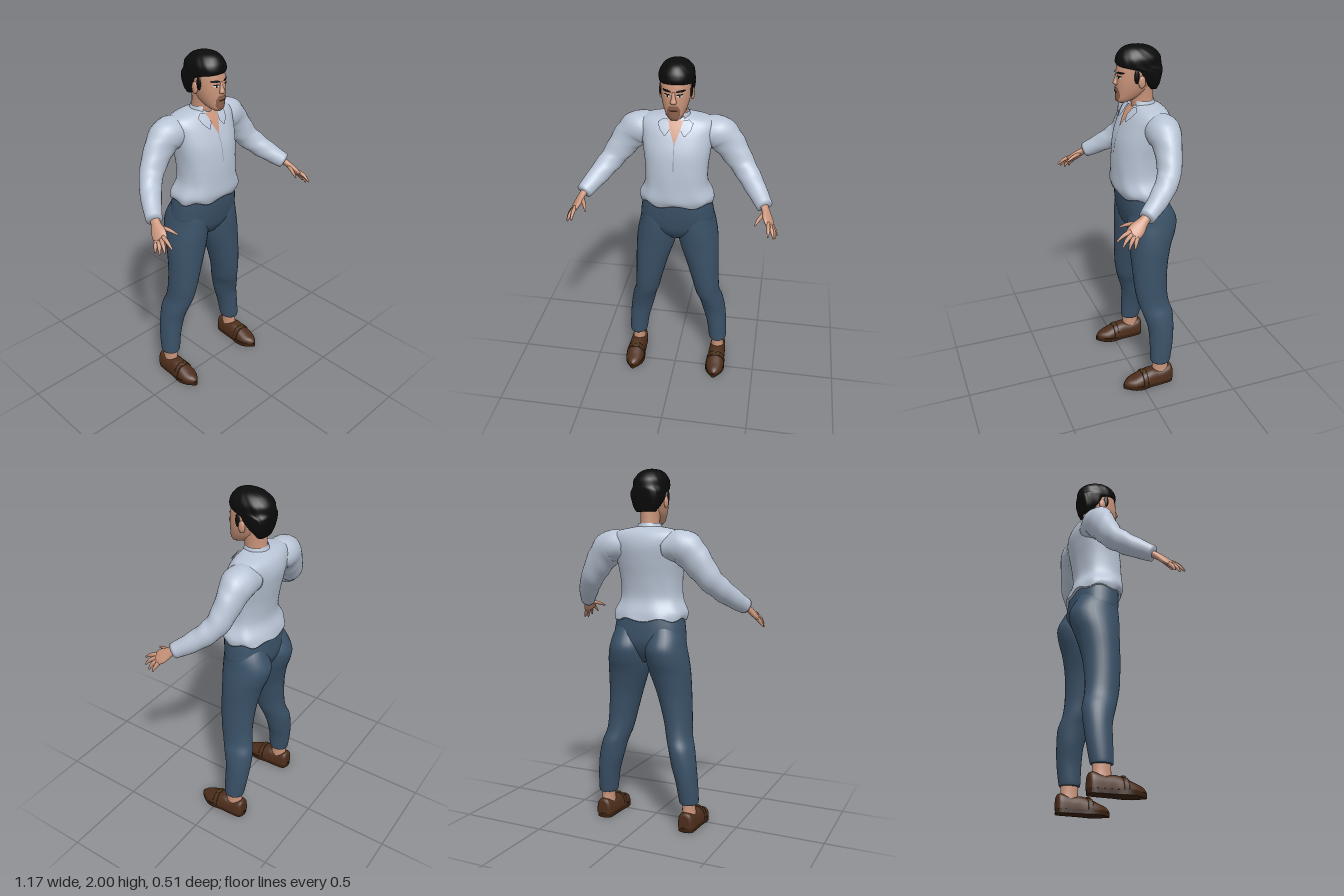
import * as THREE from 'three';
import { mergeVertices } from 'three/addons/utils/BufferGeometryUtils.js';

const mat = (name, color, side = THREE.FrontSide) => {
  const m = new THREE.MeshStandardMaterial({ color, side });
  m.name = name;
  return m;
};

// Catmull-Rom blend of section rows, t from 0 to 1
function blend(rows, t) {
  const f = t * (rows.length - 1), i = Math.min(Math.floor(f), rows.length - 2), s = f - i;
  const at = k => rows[Math.max(0, Math.min(rows.length - 1, k))];
  const [a, b, c, d] = [at(i - 1), at(i), at(i + 1), at(i + 2)];
  return b.map((v, k) => v + 0.5 * s * (c[k] - a[k] + s * (2 * a[k] - 5 * v + 4 * c[k] - d[k] + s * (3 * (v - c[k]) + d[k] - a[k]))));
}

function gridGeometry(points, nu, nv, closed) {
  const index = [], w = closed ? nu : nu + 1;
  for (let j = 0; j < nv; j++) for (let i = 0; i < nu; i++) {
    const k = (i + 1) % w, a = j * w + i, b = j * w + k, c = a + w, d = b + w;
    index.push(a, b, c, b, d, c);
  }
  const g = new THREE.BufferGeometry().setFromPoints(points);
  g.setIndex(index);
  g.computeVertexNormals();
  return g;
}

// Closed skin over sections [x, y, z, halfWidth, halfDepth, power]
function loft(rows, { seg = 28, steps = 6, ref = [0, 0, 1], flat = false, post } = {}) {
  const n = (rows.length - 1) * steps, pts = [];
  for (let j = -1; j <= n + 1; j++) {
    const t = Math.max(0, Math.min(n, j)) / n, cap = j < 0 || j > n ? 0.001 : 1;
    const [x, y, z, a, b, p = 2] = blend(rows, t);
    const e0 = blend(rows, Math.max(0, t - 0.02)), e1 = blend(rows, Math.min(1, t + 0.02));
    const T = flat ? new THREE.Vector3(0, 1, 0) : new THREE.Vector3(e1[0] - e0[0], e1[1] - e0[1], e1[2] - e0[2]).normalize();
    const U = T.clone().cross(new THREE.Vector3(...ref)).normalize(), V = U.clone().cross(T);
    for (let i = 0; i < seg; i++) {
      const th = i / seg * Math.PI * 2, s = Math.sin(th), c = Math.cos(th);
      const q = new THREE.Vector3(x, y, z)
        .addScaledVector(U, cap * a * Math.sign(s) * Math.abs(s) ** (2 / p))
        .addScaledVector(V, cap * b * Math.sign(c) * Math.abs(c) ** (2 / p));
      if (post) post(q, th, t);
      pts.push(q);
    }
  }
  return gridGeometry(pts, seg, n + 2, true);
}

// Rows [height, halfWidth, frontZ, backZ, power] to upright sections
const upright = (rows, x = 0) => rows.map(([y, a, f, b, p = 2]) => [x, y, (f + b) / 2, a, (f - b) / 2, p]);

function frontZ(rows, x, y) {
  let lo = 0, hi = 1;
  for (let k = 0; k < 24; k++) {
    const m = (lo + hi) / 2;
    if (blend(rows, m)[1] < y) lo = m; else hi = m;
  }
  const [, , z, a, b, p] = blend(rows, lo);
  return z + b * (1 - Math.min(1, Math.abs(x / a)) ** p) ** (1 / p);
}

// Thin patch laid on the front of a body, rows [y, xMin, xMax] going up
function patch(body, rows, lift = 0.004) {
  const pts = [], nv = (rows.length - 1) * 4, nu = 10;
  for (let j = 0; j <= nv; j++) {
    const f = j / 4, i = Math.min(Math.floor(f), rows.length - 2);
    const [y, x0, x1] = rows[i].map((v, k) => v + (rows[i + 1][k] - v) * (f - i));
    for (let k = 0; k <= nu; k++) {
      const x = x0 + (x1 - x0) * k / nu;
      pts.push(new THREE.Vector3(x, y, frontZ(body, x, y) + lift));
    }
  }
  return gridGeometry(pts, nu, nv, false);
}

function mirrored(geo) {
  const g = geo.clone().scale(-1, 1, 1), ix = g.index.array;
  for (let i = 0; i < ix.length; i += 3) [ix[i], ix[i + 1]] = [ix[i + 1], ix[i]];
  return g;
}

const ball = (x, y, z, a, b, c) => new THREE.SphereGeometry(1, 18, 12).scale(a, b, c).translate(x, y, z);

export function createModel() {
  const root = new THREE.Group();
  root.name = 'standingMan';
  const skin = mat('skin', 0xc9947a), shirt = mat('shirt cloth', 0xb9c4d5, THREE.DoubleSide);
  const pants = mat('trouser cloth', 0x3a5167), hair = mat('black hair', 0x0b0b0b);
  const leather = mat('brown leather', 0x4d2e1b), soleMat = mat('dark sole', 0x38200f);
  const stubbleMat = mat('stubble', 0x8a5f4b), white = mat('eye white', 0xd8d4ce);
  const gold = mat('brass', 0x8f7335), seam = mat('seam grey', 0x8a94a4);
  const add = (name, geo, m) => {
    const mesh = new THREE.Mesh(geo, m);
    mesh.name = name;
    root.add(mesh);
  };
  const pair = (name, geo, m) => {
    const g = geo.index ? geo : mergeVertices(geo);
    add(name + 'Left', g, m);
    add(name + 'Right', mirrored(g), m);
  };

  // Shirt body with soft folds and an uneven hem
  const torso = upright([
    [1.185, 0.205, 0.062, -0.228, 2.3], [1.225, 0.21, 0.078, -0.218, 2.3], [1.3, 0.178, 0.078, -0.192, 2.3],
    [1.4, 0.176, 0.074, -0.2, 2.3], [1.5, 0.188, 0.06, -0.218, 2.3], [1.58, 0.2, 0.03, -0.228, 2.3],
    [1.635, 0.205, 0, -0.218, 2.3], [1.668, 0.175, -0.025, -0.195, 2.2], [1.69, 0.07, -0.04, -0.155, 2]]);
  add('shirtBody', loft(torso, {
    flat: true, seg: 64, post: (p, th, t) => {
      const low = Math.max(0, 1 - t * 2.2), back = (1 - Math.cos(th)) / 2;
      const k = 1 + 0.016 * Math.sin(9 * th + 9 * t) * low + 0.014 * Math.cos(6 * th) * back * Math.sin(t * Math.PI);
      p.x *= k;
      p.z = (p.z + 0.08) * k - 0.08;
      p.y += 0.009 * Math.sin(7 * th + 1) * Math.max(0, 1 - t * 8);
    }
  }), shirt);
  add('openNeck', patch(torso, [[1.57, -0.003, 0.003], [1.63, -0.028, 0.028], [1.676, -0.046, 0.046]], 0.005), skin);
  add('shirtPlacket', patch(torso, [[1.42, -0.002, 0.002], [1.57, -0.002, 0.002]], 0.003), seam);
  pair('collarFlap', patch(torso, [[1.605, 0.05, 0.056], [1.635, 0.028, 0.085], [1.665, 0.036, 0.095], [1.68, 0.044, 0.07]], 0.012), shirt);
  add('collarBand', new THREE.CylinderGeometry(0.061, 0.078, 0.05, 32, 2, true, 0.65, Math.PI * 2 - 1.3).translate(0, 1.683, -0.092), shirt);

  // Sleeves
  pair('sleeve', loft([
    [0.12, 1.575, -0.125, 0.075, 0.085], [0.215, 1.58, -0.125, 0.094, 0.092], [0.285, 1.515, -0.122, 0.086, 0.072],
    [0.365, 1.405, -0.095, 0.068, 0.062], [0.435, 1.325, -0.02, 0.058, 0.055], [0.503, 1.256, 0.082, 0.044, 0.042]], {
    post: (p, th, t) => { p.y += 0.004 * Math.sin(t * 42 + 2 * th) * Math.sin(t * Math.PI); }
  }), shirt);

  // Hands
  const spread = [0.05, -0.035, -0.085];
  pair('palm', loft([
    [0.49, 1.268, 0.065, 0.021, 0.026], [0.508, 1.245, 0.1, 0.018, 0.027],
    [0.525, 1.215, 0.14, 0.017, 0.041], [0.54, 1.19, 0.175, 0.011, 0.037]], { ref: spread, seg: 20 }), skin);
  const fingers = {
    thumb: [[0.503, 1.235, 0.12], [0.478, 1.226, 0.17], [0.46, 1.208, 0.212]],
    indexFinger: [[0.527, 1.21, 0.175], [0.532, 1.196, 0.215], [0.533, 1.168, 0.252]],
    middleFinger: [[0.537, 1.198, 0.172], [0.552, 1.178, 0.206], [0.563, 1.148, 0.23]],
    ringFinger: [[0.545, 1.188, 0.162], [0.563, 1.163, 0.187], [0.573, 1.132, 0.2]],
    littleFinger: [[0.549, 1.184, 0.148], [0.567, 1.16, 0.162], [0.579, 1.135, 0.17]]
  };
  for (const [name, [a, b, c]] of Object.entries(fingers))
    pair(name, loft([[...a, 0.012, 0.012], [...b, 0.01, 0.01], [...c, 0.004, 0.004]], { seg: 10, steps: 4, ref: spread }), skin);

  // Neck and head
  add('neck', loft(upright([[1.6, 0.06, -0.04, -0.15], [1.67, 0.052, -0.03, -0.152], [1.73, 0.05, -0.02, -0.15], [1.8, 0.055, 0, -0.15]]), { flat: true }), skin);
  const head = upright([
    [1.702, 0.022, 0.05, 0.005, 2], [1.72, 0.042, 0.06, -0.045, 2.1], [1.755, 0.061, 0.059, -0.095, 2.2], [1.8, 0.074, 0.06, -0.13, 2.2],
    [1.85, 0.081, 0.057, -0.155, 2.2], [1.9, 0.082, 0.048, -0.165, 2.2], [1.945, 0.07, 0.025, -0.15, 2], [1.975, 0.035, -0.02, -0.1, 2]]);
  add('head', loft(head, { flat: true, seg: 36 }), skin);
  add('nose', loft([[0, 1.86, 0.048, 0.009, 0.01], [0, 1.83, 0.057, 0.011, 0.012], [0, 1.808, 0.063, 0.017, 0.014], [0, 1.798, 0.058, 0.011, 0.009]].reverse(), { seg: 14, flat: true }), skin);
  pair('ear', ball(0.083, 1.82, -0.055, 0.011, 0.033, 0.02), skin);
  pair('eyeWhite', patch(head, [[1.836, 0.024, 0.038], [1.842, 0.016, 0.05], [1.848, 0.022, 0.044]], 0.003), white);
  pair('iris', patch(head, [[1.836, 0.028, 0.037], [1.848, 0.028, 0.037]], 0.005), hair);
  pair('upperLid', patch(head, [[1.846, 0.014, 0.051], [1.852, 0.022, 0.046]], 0.005), hair);
  pair('eyebrow', patch(head, [[1.861, 0.012, 0.05], [1.867, 0.014, 0.06], [1.873, 0.028, 0.056]], 0.005), hair);
  add('stubble', patch(head, [[1.712, -0.018, 0.018], [1.735, -0.034, 0.034], [1.765, -0.035, 0.035], [1.788, -0.022, 0.022]], 0.003), stubbleMat);
  add('mouth', patch(head, [[1.759, -0.012, 0.012], [1.763, -0.024, 0.024], [1.767, -0.018, 0.018]], 0.006), soleMat);

  // Short hair, with sideburns and a lowered nape
  add('hair', loft(upright([
    [1.768, 0.055, -0.115, -0.162, 2.6], [1.8, 0.075, -0.085, -0.172, 3], [1.84, 0.086, -0.045, -0.181, 3.4], [1.875, 0.09, -0.018, -0.186, 3.2],
    [1.9, 0.092, 0.052, -0.188, 2.3], [1.94, 0.09, 0.055, -0.182, 2.2], [1.975, 0.069, 0.034, -0.15, 2], [1.993, 0.043, 0.006, -0.11, 2], [2, 0.012, -0.03, -0.07, 2]]),
    { flat: true, seg: 48, post: (p, th, t) => { p.x *= 1 + 0.018 * Math.sin(13 * th + 20 * t); } }), hair);
  pair('sideburn', ball(0.079, 1.85, -0.028, 0.009, 0.038, 0.014), hair);

  // Trousers
  add('trouserHips', loft(upright([
    [0.945, 0.07, -0.01, -0.16, 2], [1, 0.17, 0.025, -0.2, 2.2], [1.06, 0.21, 0.04, -0.222, 2.3],
    [1.13, 0.206, 0.05, -0.22, 2.3], [1.2, 0.194, 0.053, -0.21, 2.3]]), { flat: true, seg: 40 }), pants);
  const leg = [
    [0.258, 0.15, -0.12, 0.048, 0.054], [0.257, 0.165, -0.12, 0.055, 0.061], [0.247, 0.27, -0.128, 0.061, 0.07], [0.229, 0.37, -0.13, 0.07, 0.077],
    [0.21, 0.46, -0.118, 0.072, 0.09], [0.188, 0.53, -0.098, 0.073, 0.092], [0.174, 0.62, -0.086, 0.08, 0.096],
    [0.152, 0.76, -0.085, 0.097, 0.105], [0.13, 0.88, -0.095, 0.115, 0.12], [0.118, 0.96, -0.107, 0.118, 0.137],
    [0.11, 1.03, -0.112, 0.112, 0.143], [0.108, 1.1, -0.1, 0.098, 0.125], [0.1, 1.17, -0.085, 0.07, 0.1]];
  pair('trouserLeg', loft(leg, { flat: true }), pants);

  // Ankles and loafers
  pair('ankle', loft([[0.26, 0.05, -0.125, 0.042, 0.055], [0.258, 0.11, -0.12, 0.036, 0.049], [0.257, 0.2, -0.12, 0.037, 0.049]], { flat: true }), skin);
  const plan = new THREE.Shape();
  plan.moveTo(0.26, -0.197);
  plan.splineThru([[0.3, -0.18], [0.308, -0.12], [0.311, -0.05], [0.32, 0.01], [0.308, 0.06], [0.28, 0.1], [0.26, 0.117],
    [0.238, 0.1], [0.208, 0.06], [0.199, 0.01], [0.207, -0.05], [0.21, -0.12], [0.219, -0.18], [0.26, -0.197]].map(p => new THREE.Vector2(...p)));
  pair('shoeSole', new THREE.ExtrudeGeometry(plan, { depth: 0.026, bevelEnabled: false, curveSegments: 4 })
    .rotateX(Math.PI / 2).translate(0, 0.026, 0), soleMat);
  const shoeBase = 0.024;
  pair('shoeUpper', loft([
    [0.26, shoeBase, -0.192, 0.03, 0.07, 2.6], [0.26, shoeBase, -0.175, 0.046, 0.086, 2.8], [0.26, shoeBase, -0.11, 0.051, 0.072, 3],
    [0.26, shoeBase, -0.06, 0.053, 0.078, 2.6], [0.26, shoeBase, -0.01, 0.057, 0.068, 2.3], [0.26, shoeBase, 0.05, 0.052, 0.044, 2.3],
    [0.26, shoeBase, 0.09, 0.032, 0.03, 2.2], [0.26, shoeBase, 0.111, 0.01, 0.014, 2]],
    { ref: [0, 1, 0], post: p => { p.y = Math.max(p.y, shoeBase); } }), leather);
  pair('shoeStrap', loft([[0.26, shoeBase, -0.024, 0.058, 0.075, 2.3], [0.26, shoeBase, 0.004, 0.059, 0.07, 2.3]],
    { ref: [0, 1, 0], post: p => { p.y = Math.max(p.y, shoeBase); } }), leather);
  pair('shoeBuckle', new THREE.TorusGeometry(0.011, 0.003, 6, 14).scale(1.6, 1, 1).rotateX(-1.3).translate(0.26, 0.098, -0.008), gold);

  return root;
}
